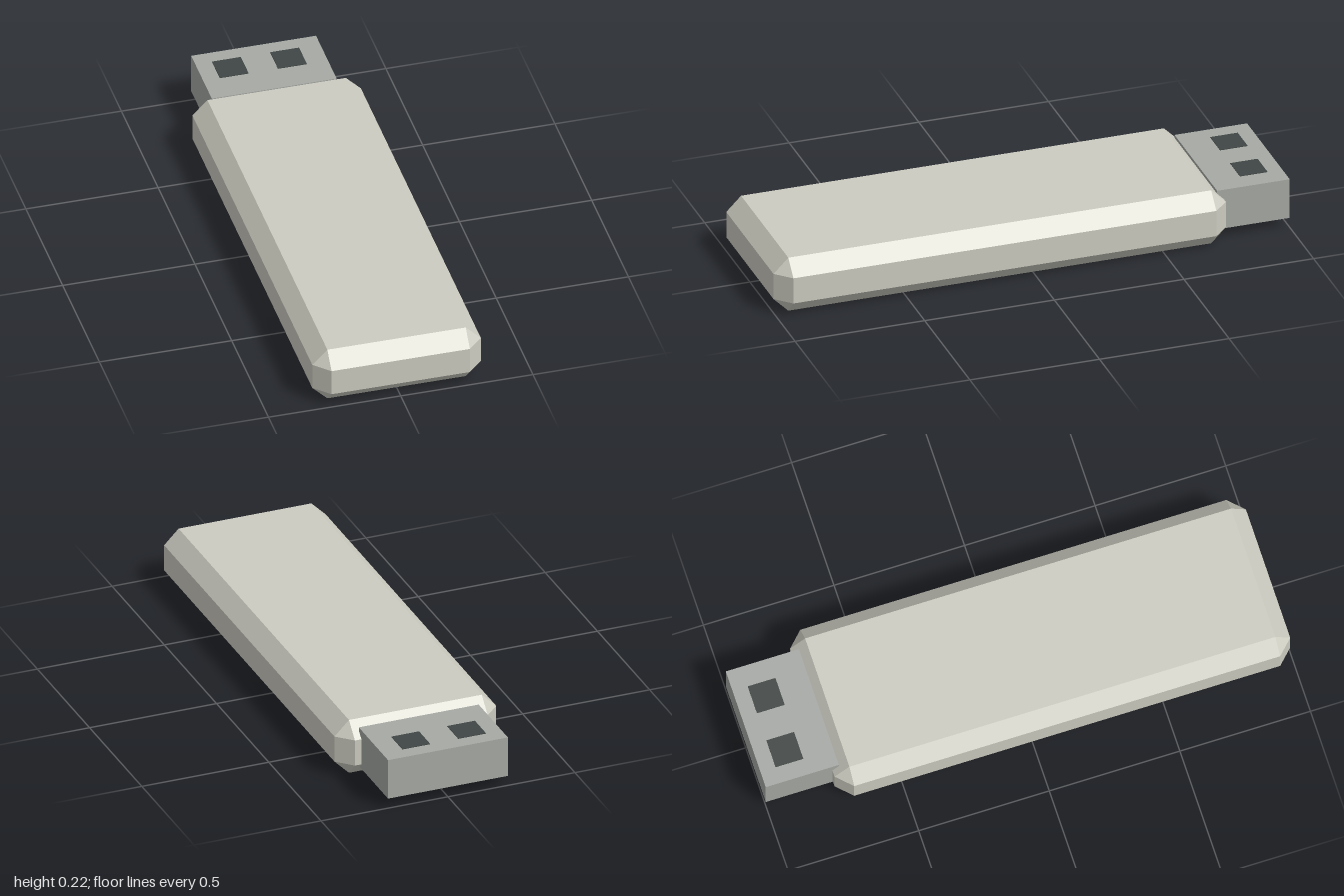
import * as THREE from 'three';
import { ConvexGeometry } from 'three/addons/geometries/ConvexGeometry.js';

// Box with every edge and corner cut off by a flat chamfer c
function chamferedBox(w, h, d, c) {
  const points = [];
  for (const sx of [-1, 1]) for (const sy of [-1, 1]) for (const sz of [-1, 1]) {
    const x = w / 2, y = h / 2, z = d / 2;
    points.push(
      new THREE.Vector3(sx * x, sy * (y - c), sz * (z - c)),
      new THREE.Vector3(sx * (x - c), sy * y, sz * (z - c)),
      new THREE.Vector3(sx * (x - c), sy * (y - c), sz * z)
    );
  }
  return new ConvexGeometry(points);
}

export function createModel() {
  const group = new THREE.Group();
  group.name = 'memoryStick';

  const material = (name, color) => {
    const m = new THREE.MeshStandardMaterial({ color });
    m.name = name;
    return m;
  };
  const casing = material('warm grey casing', 0xcdccc1);
  const metal = material('grey metal', 0xa6a9a4);
  const dark = material('dark slot', 0x404645);

  const add = (name, geometry, mat, x, y, z) => {
    const mesh = new THREE.Mesh(geometry, mat);
    mesh.name = name;
    mesh.position.set(x, y, z);
    group.add(mesh);
  };

  // Casing
  add('body', chamferedBox(0.637, 0.217, 1.745, 0.057), casing, 0, 0.1085, 0.1275);

  // Plug at the back
  add('connector', new THREE.BoxGeometry(0.472, 0.158, 0.28), metal, 0, 0.118, -0.86);

  // Two square slots on top of the plug
  for (const [name, x] of [['rightSlot', -0.119], ['leftSlot', 0.101]]) {
    add(name, new THREE.BoxGeometry(0.109, 0.004, 0.106), dark, x, 0.197, -0.889);
  }
  return group;
}
